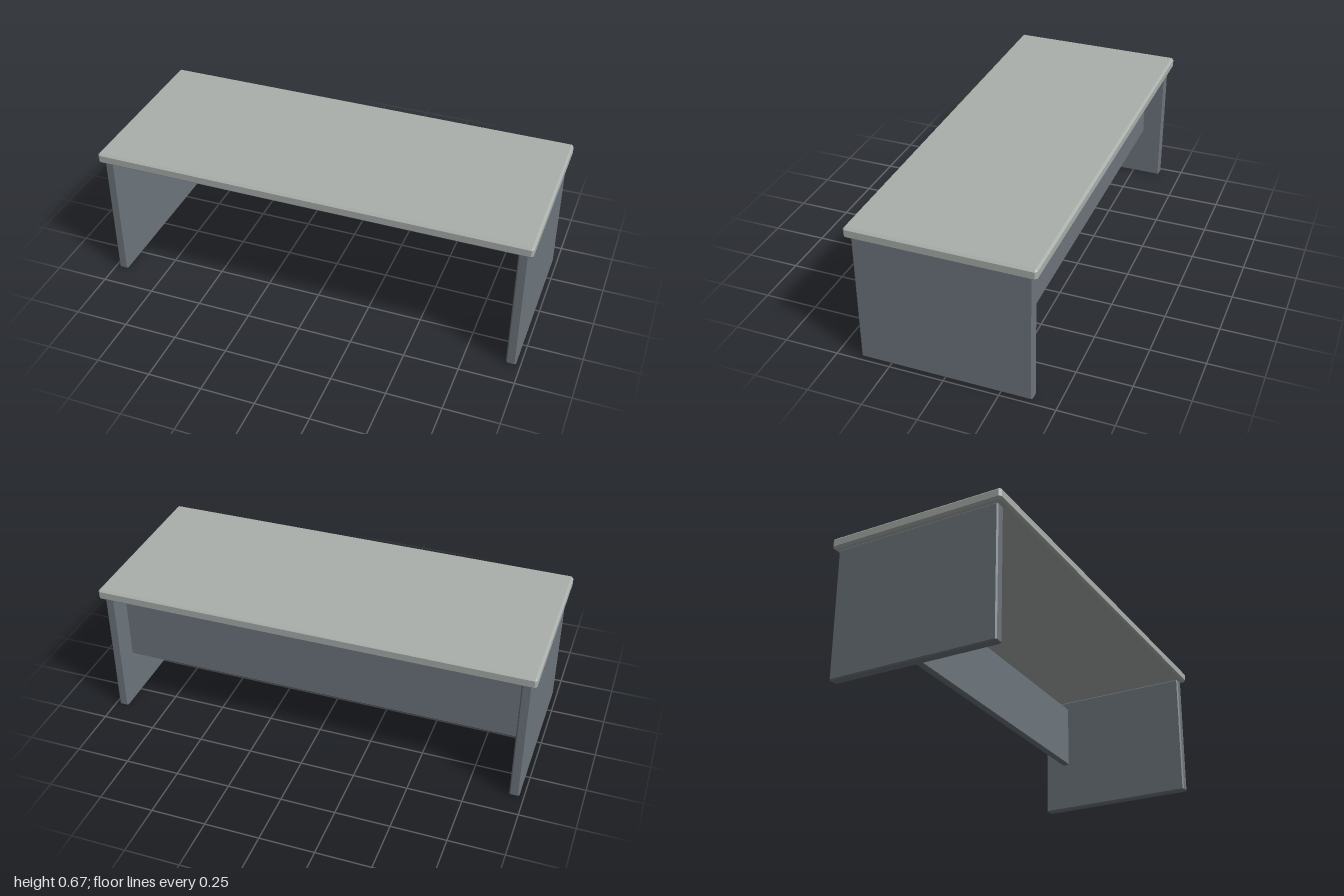
import * as THREE from 'three';
import { ConvexGeometry } from 'three/addons/geometries/ConvexGeometry.js';

// Box with every edge cut by a single flat chamfer c
function chamferedBox(w, h, d, c) {
  const points = [];
  const x = w / 2, y = h / 2, z = d / 2;
  for (const sx of [-1, 1]) for (const sy of [-1, 1]) for (const sz of [-1, 1]) {
    points.push(
      new THREE.Vector3(sx * x, sy * (y - c), sz * (z - c)),
      new THREE.Vector3(sx * (x - c), sy * y, sz * (z - c)),
      new THREE.Vector3(sx * (x - c), sy * (y - c), sz * z)
    );
  }
  return new ConvexGeometry(points);
}

export function createModel() {
  const group = new THREE.Group();
  group.name = 'desk';

  const topGrey = new THREE.MeshStandardMaterial({ name: 'light grey top', color: 0xaab0ac });
  const baseGrey = new THREE.MeshStandardMaterial({ name: 'slate grey base', color: 0x6e767d });

  function addBoard(name, material, size, position, chamfer) {
    const mesh = new THREE.Mesh(chamferedBox(...size, chamfer), material);
    mesh.name = name;
    mesh.position.set(...position);
    group.add(mesh);
  }

  // Desktop slab
  addBoard('desktop', topGrey, [2, 0.052, 0.83], [0, 0.643, 0], 0.01);

  // Slab legs at both ends
  for (const side of [-1, 1]) {
    addBoard(side > 0 ? 'leftLeg' : 'rightLeg', baseGrey,
      [0.046, 0.615, 0.782], [side * 0.957, 0.3075, 0], 0.006);
  }

  // Modesty panel, set in from the back and hanging clear of the desktop
  addBoard('modestyPanel', baseGrey, [1.876, 0.328, 0.036], [0, 0.412, -0.275], 0.004);

  return group;
}
